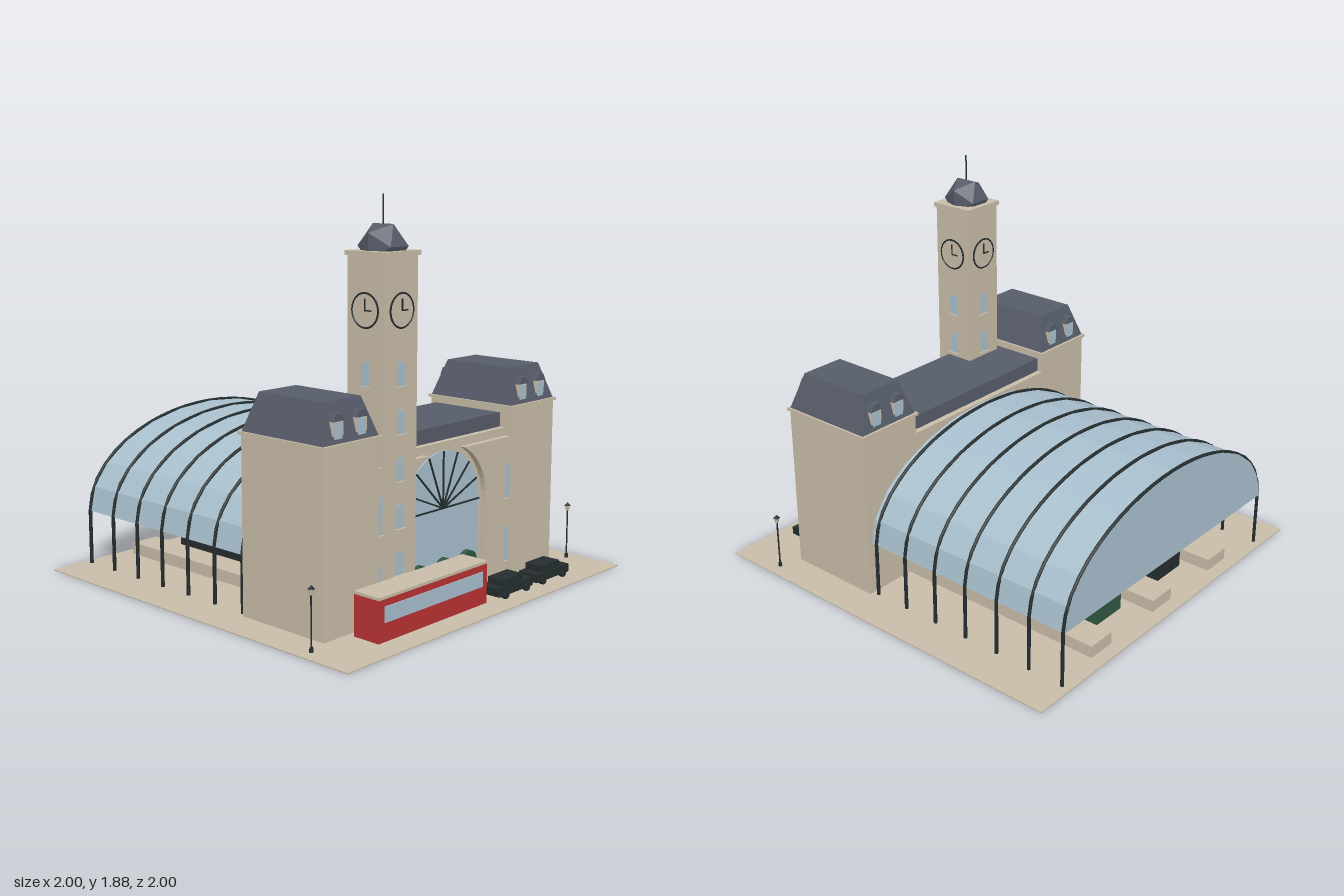
import * as THREE from 'three';

const mat = (name, color) => Object.assign(new THREE.MeshStandardMaterial({ color }), { name });

export function createModel() {
  const root = new THREE.Group();
  root.name = 'railwayStation';
  const stone = mat('stone', 0xc8bca8);
  const slate = mat('slate', 0x565c69);
  const glass = mat('glass', 0xa8bfcd);
  const iron = mat('iron', 0x252d2e);
  const red = mat('red', 0xb83234);
  const green = mat('green', 0x2f5643);

  const add = (parent, name, geo, m, x = 0, y = 0, z = 0) => {
    const mesh = new THREE.Mesh(geo, m);
    mesh.name = name;
    mesh.position.set(x, y, z);
    parent.add(mesh);
    return mesh;
  };
  // Box given by its minimum and maximum on each axis
  const box = (parent, name, m, x0, x1, y0, y1, z0, z1) =>
    add(parent, name, new THREE.BoxGeometry(x1 - x0, y1 - y0, z1 - z0), m, (x0 + x1) / 2, (y0 + y1) / 2, (z0 + z1) / 2);
  const group = (name, parent = root) => {
    const g = new THREE.Group();
    g.name = name;
    parent.add(g);
    return g;
  };
  // Box whose top is scaled inward; stands on y = 0
  const frustum = (w, d, h, sx, sz) => {
    const g = new THREE.BoxGeometry(w, h, d).toNonIndexed();
    g.translate(0, h / 2, 0);
    const p = g.attributes.position;
    for (let i = 0; i < p.count; i++) if (p.getY(i) > h / 2) p.setXYZ(i, p.getX(i) * sx, h, p.getZ(i) * sz);
    g.computeVertexNormals();
    return g;
  };
  const extrude = (shape, depth, curveSegments = 12) =>
    new THREE.ExtrudeGeometry(shape, { depth, bevelEnabled: false, curveSegments });
  const archShape = (r, bottom, spring) => {
    const s = new THREE.Shape();
    s.moveTo(-r, bottom);
    s.lineTo(r, bottom);
    s.lineTo(r, spring);
    s.absarc(0, spring, r, 0, Math.PI, false);
    return s;
  };
  // Window pane with sill, facing +z, centred on its own origin
  const paneAndSill = (parent, x, y, z, w = 0.045, h = 0.105) => {
    box(parent, 'windowPane', glass, x - w / 2, x + w / 2, y - h / 2, y + h / 2, z - 0.002, z + 0.004);
    box(parent, 'windowSill', stone, x - w / 2 - 0.012, x + w / 2 + 0.012, y - h / 2 - 0.012, y - h / 2 - 0.002, z, z + 0.01);
  };

  box(root, 'ground', stone, -1, 1, 0, 0.005, -1, 1);

  // Main hall with arched front
  const hall = group('hall');
  box(hall, 'hallWall', stone, -0.48, 0.48, 0, 0.74, 0.2, 0.66);
  box(hall, 'hallRoof', slate, -0.48, 0.48, 0.74, 0.81, 0.23, 0.63);
  const R = 0.3, spring = 0.43, cut = Math.asin((0.7 - spring) / R);
  const front = new THREE.Shape();
  front.moveTo(-0.48, 0);
  front.lineTo(0.48, 0);
  front.lineTo(0.48, 0.7);
  front.lineTo(R * Math.cos(cut), 0.7);
  front.absarc(0, spring, R, cut, 0, true);
  front.lineTo(R, 0.1);
  front.lineTo(-R, 0.1);
  front.lineTo(-R, spring);
  front.absarc(0, spring, R, Math.PI, Math.PI - cut, true);
  front.lineTo(-0.48, 0.7);
  add(hall, 'frontPanel', extrude(front, 0.03, 5), stone, 0, 0, 0.66);
  add(hall, 'archWindow', extrude(archShape(0.27, 0.1, spring), 0.008, 16), glass, 0, 0, 0.66);
  for (let i = 0; i <= 8; i++) {
    const g = new THREE.BoxGeometry(0.27, 0.007, 0.008).translate(0.135, 0, 0);
    add(hall, 'fanBar', g, iron, 0, spring, 0.67).rotation.z = (i * Math.PI) / 8;
  }
  for (const x of [-0.175, 0, 0.175])
    add(hall, 'door', extrude(archShape(0.055, 0, 0.14), 0.036), green, x, 0, 0.66);
  for (const x of [-0.475, 0.475]) for (const y of [0.17, 0.485]) paneAndSill(hall, x, y, 0.69, 0.05, 0.17);

  // Corner pavilions with mansard roofs and dormers
  for (const s of [-1, 1]) {
    const wing = group(s < 0 ? 'rightPavilion' : 'leftPavilion');
    wing.position.set(s * 0.6525, 0, 0.45);
    box(wing, 'pavilionWall', stone, -0.1725, 0.1725, 0, 0.838, -0.25, 0.25);
    box(wing, 'pavilionCornice', stone, -0.183, 0.183, 0.836, 0.85, -0.26, 0.26);
    add(wing, 'mansardRoof', frustum(0.345, 0.495, 0.175, 0.66, 0.79), slate, 0, 0.85, 0);
    for (const side of [0, Math.PI]) {
      const row = group('dormers', wing);
      row.rotation.y = side;
      for (const x of [-0.073, 0.073]) {
        box(row, 'dormerBody', stone, x - 0.034, x + 0.034, 0.86, 0.947, 0.19, 0.238);
        box(row, 'dormerWindow', glass, x - 0.025, x + 0.025, 0.868, 0.94, 0.236, 0.242);
        add(row, 'dormerRoof', frustum(0.072, 0.06, 0.033, 0.5, 1), slate, x, 0.945, 0.215);
      }
    }
  }

  // Clock tower
  const tower = group('clockTower');
  tower.position.set(-0.335, 0, 0.588);
  box(tower, 'towerShaft', stone, -0.11, 0.11, 0, 1.615, -0.107, 0.107);
  box(tower, 'towerCornice', stone, -0.119, 0.119, 1.612, 1.633, -0.118, 0.118);
  add(tower, 'towerRoof', new THREE.IcosahedronGeometry(0.113, 0), slate, 0, 1.651, 0).rotation.y = Math.PI / 2;
  add(tower, 'spire', new THREE.CylinderGeometry(0.004, 0.004, 0.14, 6), iron, 0, 1.805, 0);
  for (let i = 0; i < 4; i++) {
    const face = group('towerFace', tower);
    face.rotation.y = (i * Math.PI) / 2;
    const z = i % 2 ? 0.11 : 0.107;
    add(face, 'clockDial', new THREE.CylinderGeometry(0.076, 0.076, 0.006, 24).rotateX(Math.PI / 2), stone, 0, 1.378, z + 0.002);
    add(face, 'clockRing', new THREE.TorusGeometry(0.076, 0.0045, 5, 24), iron, 0, 1.378, z + 0.005);
    box(face, 'minuteHand', iron, -0.003, 0.003, 1.375, 1.43, z + 0.004, z + 0.009);
    box(face, 'hourHand', iron, 0, 0.037, 1.375, 1.381, z + 0.004, z + 0.009);
    for (let k = 0; k < 5; k++) paneAndSill(face, 0, 1.1 - k * 0.213, z);
  }

  // Train shed: glazed vault, iron ribs and posts
  const shed = group('trainShed');
  const arc = (a, b, n) => Array.from({ length: n + 1 }, (_, i) =>
    new THREE.Vector2(a * Math.cos((i * Math.PI) / n), 0.277 + b * Math.sin((i * Math.PI) / n)));
  add(shed, 'glassVault', extrude(new THREE.Shape(arc(0.8, 0.46, 12)), 1.163), glass, 0, 0, -0.963);
  const ribCurve = new THREE.CatmullRomCurve3(arc(0.8, 0.46, 12).map(p => new THREE.Vector3(p.x, p.y, 0)));
  for (let i = 0; i < 7; i++) {
    const z = 0.17 - i * 0.1875;
    add(shed, 'rib', new THREE.TubeGeometry(ribCurve, 24, 0.009, 6), iron, 0, 0, z);
    for (const x of [-0.8, 0.8])
      add(shed, 'post', new THREE.CylinderGeometry(0.009, 0.009, 0.28, 6), iron, x, 0.14, z);
  }
  for (const x of [-0.48, 0, 0.48]) box(shed, 'platform', stone, x - 0.075, x + 0.075, 0, 0.065, -0.93, 0.2);
  for (const [x, m] of [[0.25, green], [-0.25, iron]]) {
    box(shed, 'trainBody', m, x - 0.095, x + 0.095, 0.012, 0.218, -0.8, 0);
    add(shed, 'trainChimney', new THREE.CylinderGeometry(0.02, 0.02, 0.06, 8), iron, x, 0.245, -0.265);
  }

  // Bus
  const bus = group('bus');
  box(bus, 'busBody', red, -0.735, 0, 0.035, 0.222, 0.79, 0.93);
  box(bus, 'busRoof', stone, -0.735, 0, 0.222, 0.235, 0.788, 0.932);
  for (const z of [0.788, 0.932]) box(bus, 'busWindows', glass, -0.7, -0.035, 0.12, 0.19, z - 0.003, z + 0.003);

  // Cars
  for (const x of [0.265, 0.565]) {
    const car = group('car');
    car.position.set(x, 0, 0.85);
    box(car, 'carBody', iron, -0.132, 0.132, 0.02, 0.06, -0.054, 0.054);
    box(car, 'carCabin', iron, -0.09, 0.06, 0.06, 0.093, -0.046, 0.046);
    for (const wx of [-0.083, 0.083]) for (const wz of [-0.052, 0.052])
      add(car, 'wheel', new THREE.CylinderGeometry(0.02, 0.02, 0.018, 10).rotateX(Math.PI / 2), iron, wx, 0.023, wz);
  }

  // Street lamps
  for (const x of [-0.933, 0.933]) {
    const lamp = group('streetLamp');
    lamp.position.set(x, 0, 0.733);
    add(lamp, 'lampFoot', new THREE.CylinderGeometry(0.008, 0.01, 0.02, 8), iron, 0, 0.015, 0);
    add(lamp, 'lampPost', new THREE.CylinderGeometry(0.004, 0.004, 0.25, 6), iron, 0, 0.13, 0);
    add(lamp, 'lantern', new THREE.CylinderGeometry(0.012, 0.009, 0.026, 6), stone, 0, 0.265, 0);
    add(lamp, 'lampCap', new THREE.ConeGeometry(0.017, 0.017, 6), iron, 0, 0.286, 0);
  }
  return root;
}
